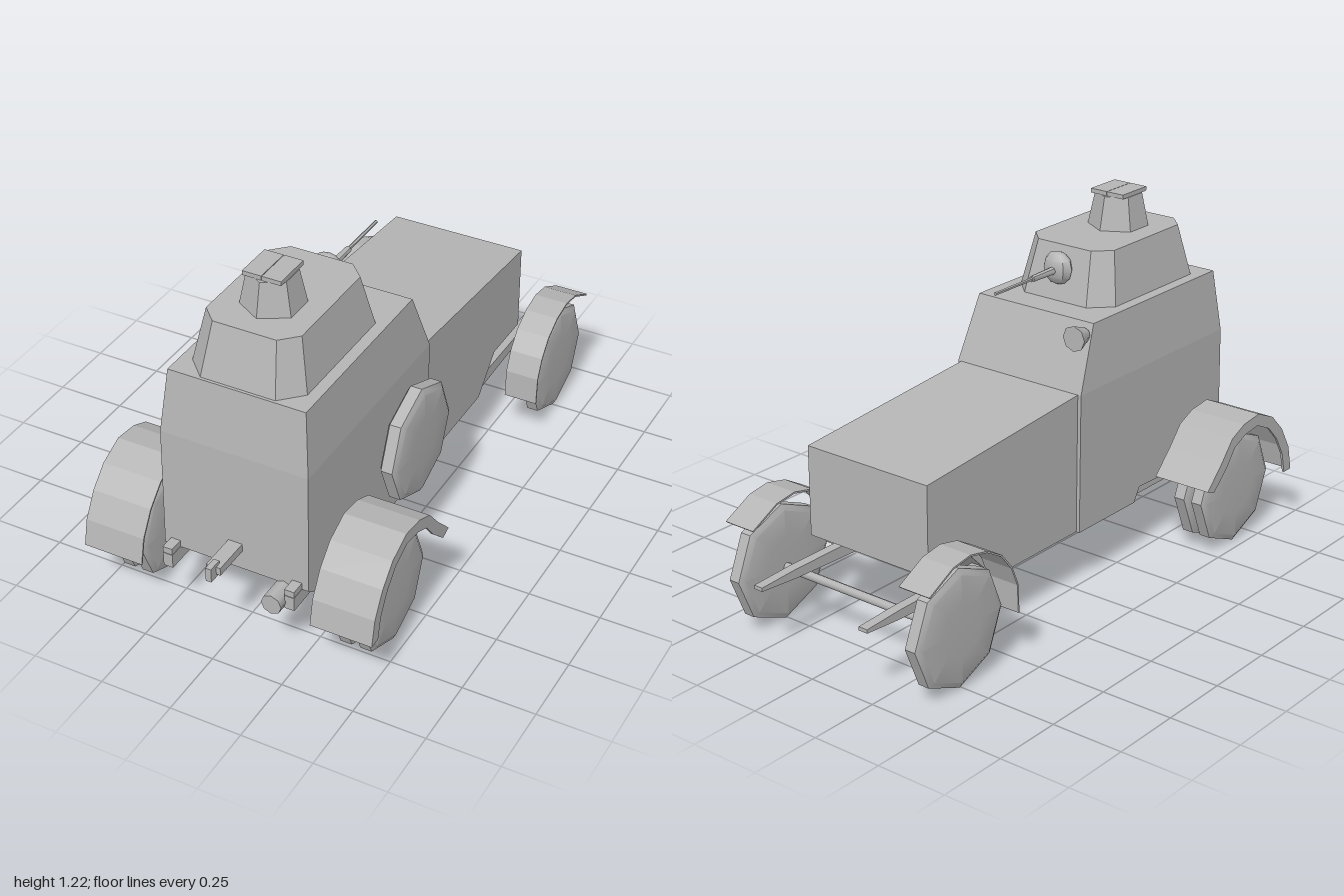
import * as THREE from 'three';
import { toCreasedNormals } from 'three/addons/utils/BufferGeometryUtils.js';
import { ConvexGeometry } from 'three/addons/geometries/ConvexGeometry.js';

export function createModel() {
  const group = new THREE.Group();
  const grey = new THREE.MeshStandardMaterial({ color: 0xb4b4b4 });
  grey.name = 'plain grey';

  function add(name, geometry, x = 0, y = 0, z = 0) {
    const mesh = new THREE.Mesh(geometry, grey);
    mesh.name = name;
    mesh.position.set(x, y, z);
    group.add(mesh);
    return mesh;
  }
  // Side profile of [z, y] points, extruded between x0 and x1
  function profile(points, x0, x1) {
    const shape = new THREE.Shape(points.map(([z, y]) => new THREE.Vector2(z, y)));
    const g = new THREE.ExtrudeGeometry(shape, { depth: x1 - x0, bevelEnabled: false });
    return g.rotateY(-Math.PI / 2).translate(x1, 0, 0);
  }
  // Curved band: outer points plus the same points pulled towards a centre
  function band(points, [cz, cy], thickness) {
    const inner = points.map(([z, y]) => {
      const k = 1 - thickness / Math.hypot(z - cz, y - cy);
      return [cz + (z - cz) * k, cy + (y - cy) * k];
    });
    return [...points, ...inner.reverse()];
  }
  // Faceted rod along z, from za (radius ra) to zb (radius rb)
  function rodZ(ra, rb, za, zb, sides = 8) {
    const g = new THREE.CylinderGeometry(rb, ra, zb - za, sides).rotateX(Math.PI / 2);
    return toCreasedNormals(g.translate(0, 0, (za + zb) / 2), 0.9);
  }
  function rodX(r, length, sides = 8) {
    return toCreasedNormals(new THREE.CylinderGeometry(r, r, length, sides).rotateZ(Math.PI / 2), 0.9);
  }
  // Corner points of a chamfered rectangle at height y
  function chamfered(y, w, z0, z1, cx, cz) {
    const out = [];
    for (const s of [-1, 1]) {
      out.push([s * w, z0 + cz], [s * (w - cx), z0], [s * w, z1 - cz], [s * (w - cx), z1]);
    }
    return out.map(([x, z]) => new THREE.Vector3(x, y, z));
  }

  // Cabin: straight lower walls and an inward leaning upper part
  add('cabinLower', profile([
    [0.02, 0.2], [0.33, 0.2], [0.36, 0.25], [0.81, 0.235], [0.84, 0.26], [0.83, 0.69], [0.02, 0.69],
  ], -0.26, 0.26));
  const upper = profile([[0.02, 0.69], [0.83, 0.69], [0.8, 0.91], [0.11, 0.91]], -0.26, 0.26);
  const pos = upper.attributes.position;
  for (let i = 0; i < pos.count; i++) {
    if (pos.getY(i) > 0.8) pos.setX(i, pos.getX(i) * 0.24 / 0.26);
  }
  upper.computeVertexNormals();
  add('cabinUpper', upper);

  // Long bonnet
  add('bonnet', profile([
    [-0.73, 0.32], [-0.53, 0.32], [-0.41, 0.2], [0.02, 0.2], [0.02, 0.69], [-0.73, 0.63],
  ], -0.247, 0.247));

  // Turret, cupola and the two hatch leaves
  add('turret', new ConvexGeometry([
    ...chamfered(0.91, 0.2, 0.215, 0.79, 0.07, 0.07),
    ...chamfered(1.09, 0.165, 0.265, 0.74, 0.055, 0.055),
  ]));
  add('cupola', new THREE.CylinderGeometry(0.08, 0.104, 0.115, 6).toNonIndexed(), 0, 1.147, 0.565)
    .geometry.computeVertexNormals();
  for (const s of [-1, 1]) {
    add('hatchLeaf', new THREE.BoxGeometry(0.066, 0.015, 0.135), s * 0.034, 1.212, 0.565);
  }

  // Gun in its ball mount
  add('gunMount', toCreasedNormals(new THREE.SphereGeometry(0.058, 8, 6), 0.6), 0, 1.02, 0.23)
    .scale.set(1, 1, 0.6);
  add('gunJacket', rodZ(0.011, 0.014, 0.09, 0.22), 0, 1.016, 0);
  add('gunBarrel', rodZ(0.006, 0.006, -0.1, 0.1, 6), 0, 1.016, 0);

  // Side lamp
  add('lamp', rodZ(0.044, 0.022, 0.03, 0.09), -0.22, 0.875, 0);

  // Eight-sided wheels
  function wheelGeometry(w, r) {
    const half = [[0, -w / 2 - 0.004], [r * 0.45, -w / 2 - 0.003], [r * 0.9, -w / 2], [r, -w * 0.32]];
    const points = [...half, ...half.map(([a, b]) => [a, -b]).reverse()];
    const g = new THREE.LatheGeometry(points.map(([a, b]) => new THREE.Vector2(a, b)), 8);
    return toCreasedNormals(g.rotateZ(Math.PI / 2), 0.5);
  }
  const wheel = wheelGeometry(0.062, 0.204);
  add('spareWheel', wheel, 0.303, 0.44, 0.2);

  // Mudguard curves as [z, y]
  const wideGuard = [
    [0.915, 0.2], [0.895, 0.29], [0.845, 0.375], [0.78, 0.44], [0.69, 0.48],
    [0.6, 0.47], [0.53, 0.44], [0.47, 0.37], [0.39, 0.29],
  ];
  const narrowGuard = [
    [-0.505, 0.17], [-0.51, 0.27], [-0.54, 0.34], [-0.59, 0.4], [-0.66, 0.44],
    [-0.74, 0.457], [-0.82, 0.445], [-0.93, 0.388],
  ];
  const rail = [
    [0.89, 0.21], [0.89, 0.26], [-0.4, 0.26], [-0.85, 0.257], [-1, 0.25],
    [-1, 0.237], [-0.85, 0.225], [-0.4, 0.21],
  ];
  for (const s of [-1, 1]) {
    const span = (a, b) => (s > 0 ? [a, b] : [-b, -a]);
    add('dualWheelInner', wheel, s * 0.367, 0.204, 0.65);
    add('dualWheelOuter', wheel, s * 0.437, 0.204, 0.65);
    add('singleWheel', wheel, s * 0.37, 0.204, -0.755);
    add('wideMudguard', profile(band(wideGuard, [0.65, 0.2], 0.006), ...span(0.305, 0.52)));
    add('mudguardLip', profile(band(wideGuard, [0.65, 0.2], 0.042), ...span(0.512, 0.52)));
    add('narrowMudguard', profile(band(narrowGuard, [-0.75, 0.2], 0.006), ...span(0.305, 0.425)));
    add('chassisRail', profile(rail, ...span(0.203, 0.237)));
    add('railBracket', new THREE.BoxGeometry(0.034, 0.022, 0.06), s * 0.22, 0.273, 0.86);
  }

  // Axles, differential and drive shaft
  add('wideAxle', rodX(0.025, 0.7), 0, 0.204, 0.64);
  add('narrowAxle', rodX(0.015, 0.7), 0, 0.19, -0.757);
  add('differential', toCreasedNormals(new THREE.SphereGeometry(0.066, 8, 6), 0.6), 0, 0.2, 0.64);
  add('driveShaft', rodZ(0.02, 0.02, 0.2, 0.62), 0, 0.21, 0);

  // Silencer and tow hook
  add('silencer', rodZ(0.036, 0.036, 0.6, 0.92), 0.172, 0.232, 0);
  add('towBar', new THREE.BoxGeometry(0.05, 0.028, 0.14), 0, 0.342, 0.9);
  add('towHook', new THREE.BoxGeometry(0.02, 0.05, 0.05), 0, 0.342, 0.975);
  return group;
}
